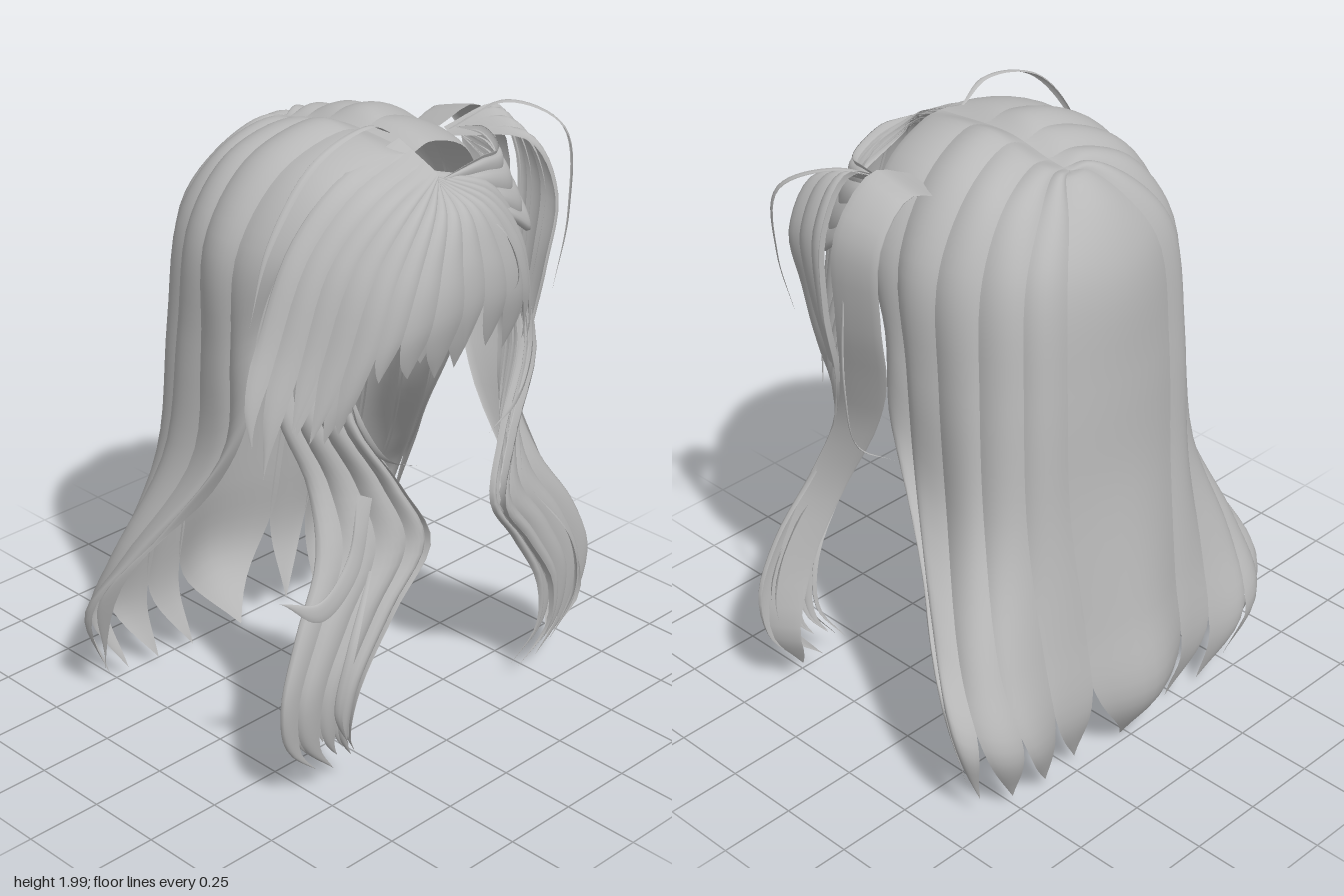
import * as THREE from 'three';

const hair = new THREE.MeshStandardMaterial({ color: 0xb8b8b8, side: THREE.DoubleSide });
hair.name = 'hair grey';

// Mirror a guide in z; k scales the reach, optionally by height
const mirror = (guide, k = () => 1) => guide.map(([x, y, z]) => [x, y, -z * k(y)]);

// Skin several guide curves (root to tip) and cut the sheet into tapering locks.
// bounds: lock edges, counted in guides. Each lock bulges outward a little.
function addLocks(group, name, guides, bounds, o = {}) {
  const { bulge = 0.02, taper = 0.7, overlap = 0.04, rows = 32, cols = 6, vary = 0.05, lift = 0 } = o;
  const curves = guides.map(g => new THREE.CatmullRomCurve3(g.map(p => new THREE.Vector3(...p))));
  for (let i = 0; i + 1 < bounds.length; i++) {
    const mid = (bounds[i] + bounds[i + 1]) / 2;
    const half = (bounds[i + 1] - bounds[i]) / 2 + overlap;
    const length = 1 - vary * ((i * 7) % 3) / 2;
    const pos = [], index = [];
    for (let r = 0; r <= rows; r++) {
      const t = r / rows, v = t * length;
      const cross = new THREE.CatmullRomCurve3(curves.map(c => c.getPoint(v)), false, 'catmullrom');
      const q = Math.max(0, (t - taper) / (1 - taper));
      const w = half * Math.max(0.01, 1 - Math.pow(q, 1.8));
      for (let c = 0; c <= cols; c++) {
        const s = c / cols * 2 - 1;
        const u = THREE.MathUtils.clamp((mid + s * w) / (guides.length - 1), 0, 1);
        const p = cross.getPoint(u);
        const out = new THREE.Vector3(p.x, Math.max(0, p.y - 1.5), p.z).normalize();
        p.addScaledVector(out, lift + bulge * (1 - s * s) * Math.min(1, t * 6) * (1 - q));
        pos.push(p.x, Math.max(0, p.y), p.z);
        if (r < rows && c < cols) {
          const a = r * (cols + 1) + c, b = a + cols + 1;
          index.push(a, b, a + 1, b, b + 1, a + 1);
        }
      }
    }
    const geo = new THREE.BufferGeometry();
    geo.setAttribute('position', new THREE.Float32BufferAttribute(pos, 3));
    geo.setIndex(index);
    geo.computeVertexNormals();
    const mesh = new THREE.Mesh(geo, hair);
    mesh.name = name;
    group.add(mesh);
  }
}

const even = (from, to, n) => Array.from({ length: n + 1 }, (_, i) => from + (to - from) * i / n);

// Thin ribbon along a path, narrowing at both ends
function addStrand(group, path, width = 0.02) {
  const side = path.map(([x, y, z], i) => {
    const w = width * Math.sin(Math.PI * (0.1 + 0.85 * i / (path.length - 1)));
    return [x + w, y, z + w * 0.6 * Math.sign(-z || 1)];
  });
  addLocks(group, 'looseStrand', [path, side], [0, 1], { bulge: 0.006, overlap: 0, taper: 0.6, cols: 3, vary: 0 });
}

export function createModel() {
  const model = new THREE.Group();
  model.name = 'longHair';
  const part = name => {
    const g = new THREE.Group();
    g.name = name;
    model.add(g);
    return g;
  };

  // Long back curtain, from the parting down to the tips
  const back = [[-0.2, 1.88, 0], [-0.24, 1.87, 0], [-0.33, 1.79, 0], [-0.41, 1.62, 0], [-0.435, 1.3, 0], [-0.455, 0.95, 0], [-0.53, 0.5, 0], [-0.585, 0.22, 0], [-0.47, 0, -0.02]];
  const sideGuides = [
    [[-0.2, 1.88, 0], [-0.22, 1.88, 0.06], [-0.29, 1.8, 0.16], [-0.35, 1.65, 0.26], [-0.385, 1.3, 0.29], [-0.41, 0.9, 0.29], [-0.47, 0.5, 0.27], [-0.51, 0.22, 0.26], [-0.46, 0.02, 0.2]],
    [[-0.12, 1.89, 0], [-0.13, 1.9, 0.09], [-0.17, 1.83, 0.27], [-0.2, 1.65, 0.39], [-0.23, 1.3, 0.42], [-0.28, 0.9, 0.44], [-0.44, 0.5, 0.52], [-0.54, 0.25, 0.5], [-0.48, 0.03, 0.42]],
    [[0.05, 1.92, 0], [0.05, 1.94, 0.09], [0.02, 1.86, 0.3], [0, 1.65, 0.45], [-0.02, 1.3, 0.45], [-0.06, 0.95, 0.45], [-0.27, 0.58, 0.59], [-0.43, 0.33, 0.66], [-0.44, 0.08, 0.58]],
    [[0.32, 1.9, 0], [0.3, 1.905, 0.1], [0.27, 1.83, 0.3], [0.22, 1.65, 0.42], [0.13, 1.4, 0.44], [0.1, 1.13, 0.45], [-0.04, 0.85, 0.47], [-0.27, 0.52, 0.62], [-0.42, 0.13, 0.61]],
  ];
  const edges = [0.75, 1.3, 1.95, 2.6, 3.3, 4];
  const reach = y => 1.08 - 0.09 * y;
  addLocks(part('backHair'), 'backLock',
    [...sideGuides.map(g => mirror(g, reach)).reverse(), back, ...sideGuides],
    [...edges.map(e => 4 - e).reverse(), ...edges.map(e => 4 + e)], { taper: 0.78, rows: 44, cols: 8, vary: 0, bulge: 0.018 });

  // Fringe fanning out from the front of the parting; shorter reach on the tied side
  const fringeSide = [
    [[0.42, 1.85, 0], [0.5, 1.77, 0.12], [0.53, 1.63, 0.22], [0.53, 1.47, 0.28], [0.51, 1.36, 0.3], [0.49, 1.27, 0.29]],
    [[0.4, 1.87, 0], [0.42, 1.8, 0.2], [0.4, 1.65, 0.34], [0.38, 1.4, 0.43], [0.37, 1.22, 0.49], [0.34, 1.07, 0.54]],
    [[0.26, 1.93, 0], [0.26, 1.86, 0.26], [0.24, 1.7, 0.42], [0.23, 1.45, 0.53], [0.24, 1.25, 0.61], [0.27, 1.07, 0.6]],
  ];
  const fringeMid = [[0.42, 1.84, 0], [0.52, 1.77, 0], [0.565, 1.65, 0.01], [0.58, 1.52, 0.01], [0.56, 1.4, 0.02], [0.53, 1.3, 0.01]];
  const fringeGuides = [...fringeSide.map(g => mirror(g, () => 0.94)).reverse(), fringeMid, ...fringeSide];
  const fringe = part('fringe');
  addLocks(fringe, 'fringeLock', fringeGuides, even(1.1, 6, 14), { bulge: 0.014, taper: 0.5, vary: 0.18, rows: 22, overlap: 0.06 });
  addLocks(fringe, 'fringeUnderLock', fringeGuides, even(1.3, 5.8, 9), { bulge: 0.008, taper: 0.45, vary: 0.3, lift: -0.015, rows: 20 });

  // Wavy locks framing the face, one bundle each side
  const inner = [[0.36, 1.64, 0.32], [0.45, 1.25, 0.37], [0.5, 1, 0.24], [0.54, 0.8, 0.16], [0.53, 0.62, 0.28], [0.52, 0.4, 0.41], [0.5, 0.22, 0.43], [0.46, 0.09, 0.36]];
  const outer = [[0.24, 1.64, 0.36], [0.25, 1.25, 0.48], [0.32, 1, 0.43], [0.4, 0.8, 0.47], [0.44, 0.6, 0.59], [0.45, 0.4, 0.66], [0.44, 0.22, 0.63], [0.44, 0.08, 0.5]];
  for (const s of [1, -1]) {
    const g = part(s > 0 ? 'rightFrontLocks' : 'leftFrontLocks');
    const place = p => s > 0 ? p : mirror(p, y => 1.06 - 0.03 * y);
    addLocks(g, 'frontLock', [inner, outer].map(place), even(0, 1, 5), { bulge: 0.025, taper: 0.7, vary: 0.06, overlap: 0.03 });
    addLocks(g, 'frontUnderLock', [inner, outer].map(place), even(0.1, 0.9, 4), { bulge: 0.02, taper: 0.6, vary: 0.12, lift: -0.03 });
    // Loose wisps curling toward the face
    addStrand(g, place([[0.42, 1.4, 0.4], [0.46, 1.2, 0.36], [0.48, 1.08, 0.28], [0.5, 1.02, 0.15]]), 0.025);
    addStrand(g, place([[0.5, 0.75, 0.35], [0.54, 0.55, 0.48], [0.53, 0.35, 0.52], [0.52, 0.2, 0.45]]), 0.025);
    // Wisp flicking outward on one side only
    if (s > 0) addLocks(g, 'flickedLock', [
      [[0.5, 1.02, 0.4], [0.52, 0.84, 0.46], [0.53, 0.75, 0.58], [0.5, 0.79, 0.71]],
      [[0.52, 1, 0.36], [0.54, 0.78, 0.44], [0.54, 0.69, 0.58], [0.5, 0.78, 0.71]],
    ], [0, 1], { bulge: 0.01, vary: 0 });
  }

  // Side tail tied high on one side: a broad band hanging just ahead of the curtain
  const tail = part('sideTail');
  addLocks(tail, 'tailBand', [
    [[0.02, 1.82, -0.28], [0.02, 1.86, -0.42], [0.02, 1.73, -0.53], [0.05, 1.47, -0.51], [0.11, 1.22, -0.44], [0.2, 1.01, -0.41], [0.32, 0.76, -0.44], [0.38, 0.5, -0.53], [0.38, 0.25, -0.6], [0.4, 0.1, -0.55]],
    [[0.14, 1.86, -0.3], [0.16, 1.9, -0.43], [0.17, 1.75, -0.57], [0.19, 1.47, -0.56], [0.25, 1.22, -0.5], [0.33, 1.01, -0.46], [0.43, 0.76, -0.5], [0.47, 0.5, -0.6], [0.47, 0.25, -0.66], [0.46, 0.1, -0.59]],
  ], [0, 1], { taper: 0.85, bulge: 0.015, vary: 0 });
  // Shorter waves falling in front of the band
  addLocks(tail, 'tailWave', [
    [[0.12, 1.84, -0.34], [0.2, 1.89, -0.46], [0.22, 1.74, -0.55], [0.23, 1.48, -0.55], [0.25, 1.25, -0.5], [0.33, 1.02, -0.45], [0.41, 0.82, -0.43]],
    [[0.15, 1.82, -0.34], [0.36, 1.83, -0.45], [0.42, 1.66, -0.51], [0.43, 1.45, -0.46], [0.41, 1.25, -0.43], [0.45, 1.02, -0.34], [0.5, 0.82, -0.31]],
  ], even(0, 1, 4), { taper: 0.6, vary: 0.2 });
  // Hair swept from the parting into the tie
  addLocks(tail, 'sweptLock', [
    [[0.43, 1.85, -0.01], [0.4, 1.85, -0.18], [0.35, 1.83, -0.31], [0.25, 1.85, -0.36], [0.14, 1.84, -0.36]],
    [[0.44, 1.8, -0.03], [0.47, 1.66, -0.26], [0.39, 1.57, -0.42], [0.27, 1.65, -0.47], [0.14, 1.8, -0.4]],
  ], even(0, 1, 5), { taper: 0.8, bulge: 0.02, vary: 0 });

  // Flyaway arcs
  const flyaways = part('flyaways');
  [
    [[0.23, 1.94, 0.01], [0.24, 1.985, 0.12], [0.24, 1.93, 0.33], [0.24, 1.73, 0.5], [0.23, 1.5, 0.56]],
    [[0.15, 1.84, -0.36], [0.14, 1.78, -0.53], [0.14, 1.5, -0.57], [0.1, 1.28, -0.61], [0.07, 1.1, -0.6], [0.05, 1, -0.47]],
    [[0.14, 1.84, -0.34], [0.22, 1.91, -0.5], [0.36, 1.84, -0.6], [0.42, 1.6, -0.57], [0.43, 1.35, -0.5]],
    [[0.44, 1.82, -0.02], [0.55, 1.68, -0.14], [0.56, 1.52, -0.18], [0.55, 1.48, -0.1]],
  ].forEach(p => addStrand(flyaways, p, 0.022));

  return model;
}
